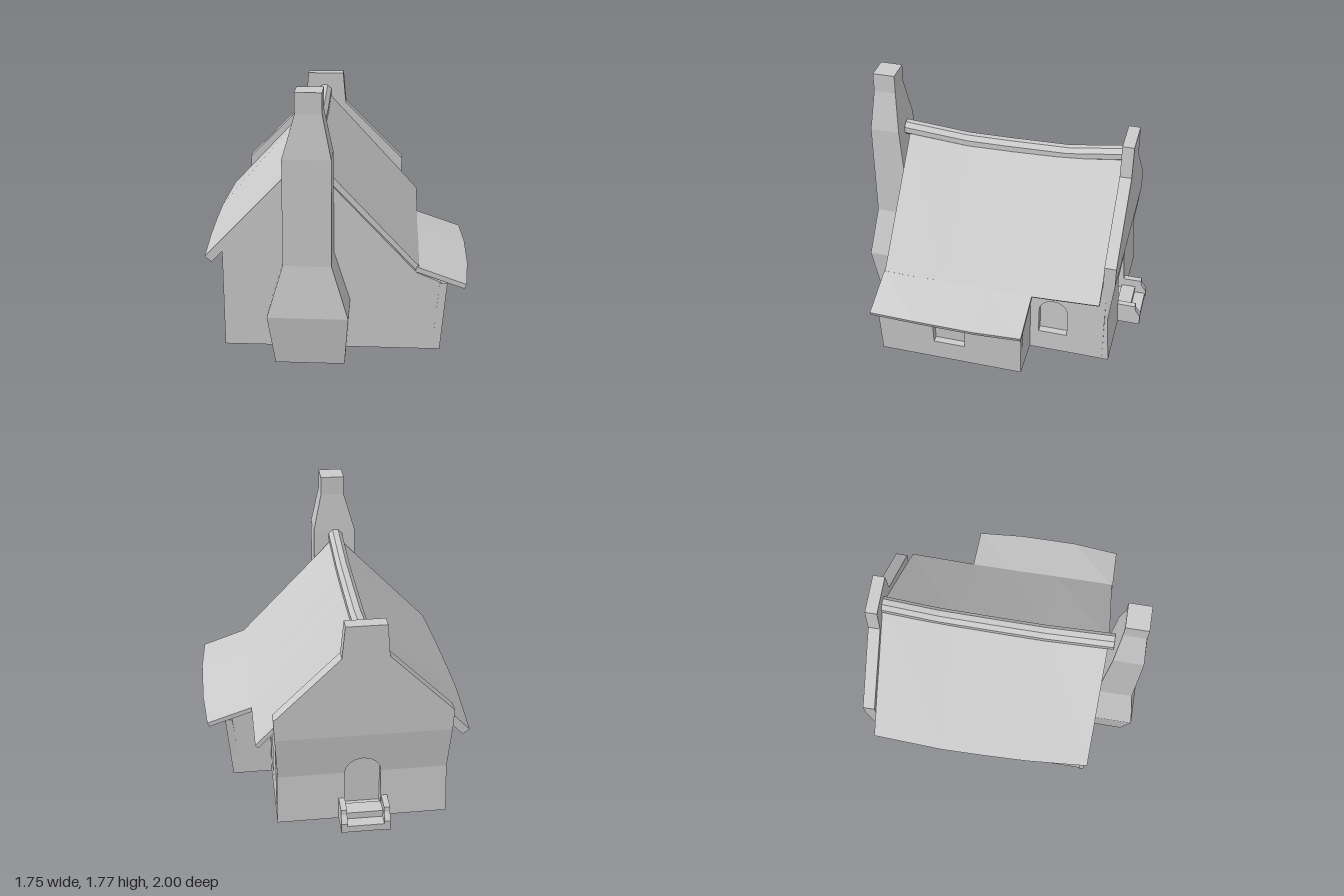
import * as THREE from 'three';

const mat = new THREE.MeshStandardMaterial({ color: 0xcccccc, flatShading: true, side: THREE.DoubleSide });

function add(parent, name, geometry, x = 0, y = 0, z = 0) {
  const mesh = new THREE.Mesh(geometry, mat);
  mesh.name = name;
  mesh.position.set(x, y, z);
  parent.add(mesh);
  return mesh;
}

// Closed solid through a row of cross-sections, each a loop of [x, y, z]
function loft(sections) {
  const n = sections[0].length, last = (sections.length - 1) * n, index = [];
  for (let i = 0; i < sections.length - 1; i++) {
    for (let j = 0; j < n; j++) {
      const a = i * n + j, b = i * n + (j + 1) % n;
      index.push(a, b, b + n, a, b + n, a + n);
    }
  }
  for (let j = 1; j < n - 1; j++) {
    index.push(0, j + 1, j, last, last + j, last + j + 1);
  }
  const g = new THREE.BufferGeometry();
  g.setAttribute('position', new THREE.Float32BufferAttribute(sections.flat(2), 3));
  g.setIndex(index);
  g.computeVertexNormals();
  return g;
}

const shapeOf = (pts) => new THREE.Shape(pts.map(([x, y]) => new THREE.Vector2(x, y)));

const extrude = (shape, depth) =>
  new THREE.ExtrudeGeometry(shape, { depth, bevelEnabled: false, curveSegments: 8 });

// Openings, centred on u
function archHole(u, y0, top, w) {
  const r = w / 2, p = new THREE.Path();
  p.moveTo(u - r, y0);
  p.lineTo(u + r, y0);
  p.lineTo(u + r, top - r);
  p.absarc(u, top - r, r, 0, Math.PI, false);
  p.closePath();
  return p;
}

// Wall facing sideways: outline in (z, y), thickness runs from x towards -x
function sideWall(parent, name, x, outline, holes, depth) {
  const shape = shapeOf(outline);
  shape.holes.push(...holes);
  return add(parent, name, extrude(shape, depth).rotateY(-Math.PI / 2), x);
}

export function createModel() {
  const house = new THREE.Group();
  house.name = 'cottage';
  const T = 0.05;

  // Front wall, spanning the main room and the lean-to
  add(house, 'frontWall', extrude(shapeOf([
    [-0.72, 0], [0.69, 0], [0.725, 0.46], [0.53, 0.54], [-0.155, 1.27], [-0.72, 0.72],
  ]), 0.03), 0, 0, 0.685);

  // Left wall with two arched windows
  const leftWindows = [-0.45, 0.255];
  sideWall(house, 'leftWall', -0.715 + T,
    [[-0.8, 0], [0.7, 0], [0.7, 0.72], [-0.8, 0.72]],
    leftWindows.map((z) => archHole(z, 0.16, 0.45, 0.2)), T);
  for (const z of leftWindows) {
    add(house, 'leftWindowPane', new THREE.BoxGeometry(0.012, 0.29, 0.2), -0.66, 0.305, z);
  }

  // Right wall behind the lean-to
  sideWall(house, 'rightWall', 0.42,
    [[-0.8, 0], [-0.28, 0], [-0.28, 0.66], [-0.8, 0.66]],
    [archHole(-0.445, 0.16, 0.45, 0.2)], T);
  add(house, 'rightWindowPane', new THREE.BoxGeometry(0.012, 0.29, 0.2), 0.365, 0.305, -0.445);

  // Lean-to walls, the outer one leaning outwards
  const squareHole = new THREE.Path([[0.11, 0.16], [0.33, 0.16], [0.33, 0.435], [0.11, 0.435]]
    .map(([z, y]) => new THREE.Vector2(z, y)));
  const lean = new THREE.Matrix4().makeShear(0, 0, 0.08, 0, 0, 0);
  lean.set(1, 0.08, 0, 0, 0, 1, 0, 0, 0, 0, 1, 0, 0, 0, 0, 1);
  const outer = sideWall(house, 'leanToWall', 0.69,
    [[-0.28, 0], [0.715, 0], [0.72, 0.47], [-0.295, 0.47]], [squareHole], T);
  outer.geometry.applyMatrix4(lean);
  add(house, 'leanToWindowPane',
    new THREE.BoxGeometry(0.012, 0.275, 0.22).applyMatrix4(lean), 0.66, 0.2975, 0.22);
  add(house, 'leanToBackWall', extrude(shapeOf([
    [0.4, 0], [0.69, 0], [0.728, 0.46], [0.55, 0.54], [0.4, 0.58],
  ]), 0.03), 0, 0, -0.285);

  // Back gable in three bands that bow inwards and out, with an arched doorway
  const gable = new THREE.Group();
  gable.name = 'backGable';
  house.add(gable);
  const arch = [];
  for (let i = 0; i <= 8; i++) {
    const a = Math.PI - i * Math.PI / 8;
    arch.push([-0.15 + 0.12 * Math.cos(a), 0.36 + 0.12 * Math.sin(a)]);
  }
  const bands = [
    [[-0.72, 0], [0.42, 0], [0.41, 0.36], [-0.03, 0.36], [-0.03, 0.08], [-0.27, 0.08], [-0.27, 0.36], [-0.71, 0.36]],
    [[-0.71, 0.36], ...arch, [0.41, 0.36], [0.425, 0.68], [-0.725, 0.68]],
    [[-0.725, 0.68], [0.425, 0.68], [0.43, 0.83], [0, 1.265], [-0.02, 1.49], [-0.28, 1.49], [-0.3, 1.265], [-0.73, 0.83]],
  ];
  const outerZ = (y) => (y < 0.36 ? -0.845 + 0.025 * y / 0.36
    : y < 0.68 ? -0.82 - 0.035 * (y - 0.36) / 0.32 : -0.855);
  for (const band of bands) {
    const g = extrude(shapeOf(band), 1), p = g.attributes.position;
    for (let i = 0; i < p.count; i++) p.setZ(i, p.getZ(i) > 0.5 ? -0.775 : outerZ(p.getY(i)));
    g.computeVertexNormals();
    add(gable, 'gableBand', g);
  }
  add(house, 'door', new THREE.BoxGeometry(0.24, 0.4, 0.012), -0.15, 0.28, -0.769);

  // Doorstep between two low side walls
  const cheek = shapeOf([[-0.83, 0], [-0.83, 0.16], [-0.96, 0.16], [-0.965, 0.125], [-1, 0.075], [-1, 0]]);
  for (const x of [-0.275, 0.01]) {
    add(house, 'stepSideWall', extrude(cheek, 0.04).rotateY(-Math.PI / 2), x);
  }
  add(house, 'upperStep', new THREE.BoxGeometry(0.25, 0.1, 0.1), -0.152, 0.05, -0.87);
  add(house, 'lowerStep', new THREE.BoxGeometry(0.25, 0.05, 0.075), -0.152, 0.025, -0.9575);

  // Sagging roof: [z, ridge y, left eave x, left eave y, right eave y]
  const stations = [
    [-0.775, 1.335, -0.86, 0.61, 0.597],
    [-0.3, 1.295, -0.88, 0.605, 0.575],
    [0, 1.285, -0.875, 0.605, 0.575],
    [0.3, 1.28, -0.865, 0.605, 0.578],
    [0.715, 1.305, -0.835, 0.62, 0.582],
  ];
  add(house, 'leftRoof', loft(stations.map(([z, r, x, y]) =>
    [[-0.155, r + 0.03, z], [x, y, z], [x + 0.045, y - 0.035, z], [-0.155, r - 0.05, z]])));
  add(house, 'rightRoof', loft(stations.map(([z, r, , , y]) =>
    [[-0.155, r + 0.03, z], [-0.155, r - 0.03, z], [0.525, y - 0.022, z], [0.545, y, z]])));

  // Ridge cap: [z, top y]
  const cap = [[-0.78, 1.4], [-0.4, 1.343], [0, 1.333], [0.3, 1.33], [0.75, 1.367]];
  add(house, 'ridgeCap', loft(cap.map(([z, top]) => Array.from({ length: 8 }, (_, i) => {
    const a = (i + 0.5) * Math.PI / 4;
    return [-0.157 + 0.053 * Math.cos(a), top - 0.049 + 0.053 * Math.sin(a), z];
  }))));

  // Lean-to roof: [z, eave x, eave y]
  const leanRoof = [[-0.318, 0.85, 0.472], [0, 0.873, 0.478], [0.4, 0.873, 0.482], [0.722, 0.85, 0.468]];
  add(house, 'leanToRoof', loft(leanRoof.map(([z, x, y]) =>
    [[0.53, 0.582, z], [0.52, 0.55, z], [x - 0.012, y - 0.03, z], [x, y, z]])));

  // Chimney: [y, x0, x1, back z, front z]
  const chimney = [
    [0, -0.36, 0.08, 0.7, 0.95],
    [0.335, -0.405, 0.105, 0.7, 1],
    [0.67, -0.305, 0, 0.71, 0.955],
    [1.36, -0.3, 0, 0.755, 0.955],
    [1.635, -0.22, -0.055, 0.78, 0.93],
    [1.767, -0.22, -0.055, 0.78, 0.93],
  ];
  add(house, 'chimney', loft(chimney.map(([y, x0, x1, z0, z1]) =>
    [[x0, y, z1], [x1, y, z1], [x1, y, z0], [x0, y, z0]])));

  return house;
}
